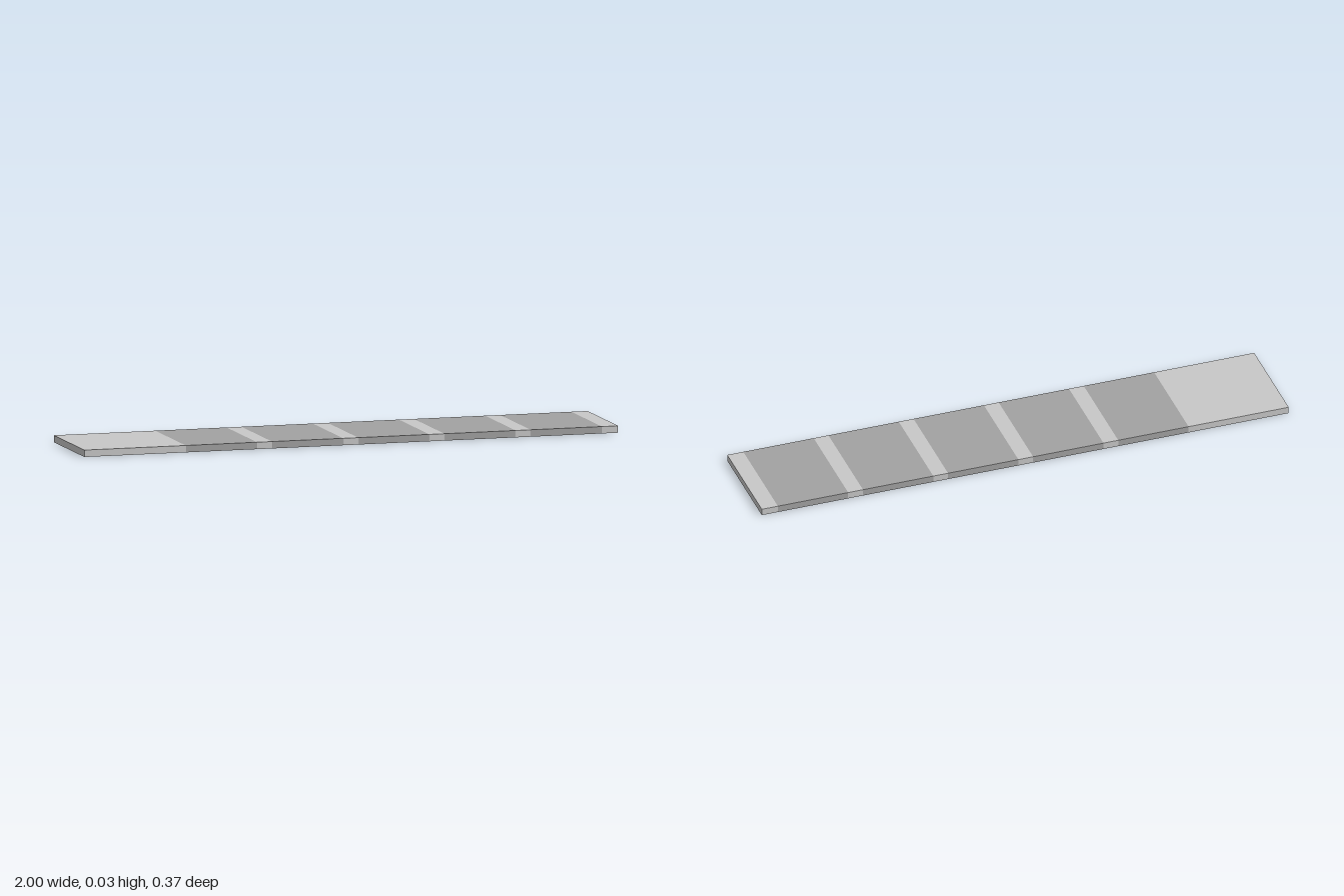
import * as THREE from 'three';

const HEIGHT = 0.025;
const DEPTH = 0.374;

export function createModel() {
  const model = new THREE.Group();
  model.name = 'bandedSlab';

  const material = (name, color) => {
    const m = new THREE.MeshStandardMaterial({ color });
    m.name = name;
    return m;
  };
  const lightGrey = material('lightGrey', 0xc8c8c8);
  const midGrey = material('midGrey', 0xa2a2a2);
  const yellow = material('yellow', 0xc8c010);

  // One full-depth block of the slab between two x positions
  const addBlock = (name, x0, x1, materials) => {
    const mesh = new THREE.Mesh(new THREE.BoxGeometry(x1 - x0, HEIGHT, DEPTH), materials);
    mesh.name = name;
    mesh.position.set((x0 + x1) / 2, HEIGHT / 2, 0);
    model.add(mesh);
  };

  // Dark bands have yellow joint faces at both ends, hidden against the light blocks
  const bandMaterials = [yellow, yellow, midGrey, midGrey, midGrey, midGrey];
  const bandWidth = 0.267;
  const bandPitch = 0.323;

  let edge = -1;
  for (let i = 0; i < 5; i++) {
    const start = -0.62 + i * bandPitch;
    addBlock(`lightBlock${i + 1}`, edge, start, lightGrey);
    addBlock(`darkBand${i + 1}`, start, start + bandWidth, bandMaterials);
    edge = start + bandWidth;
  }
  addBlock('lightEndBlock', edge, 1, lightGrey);

  return model;
}
